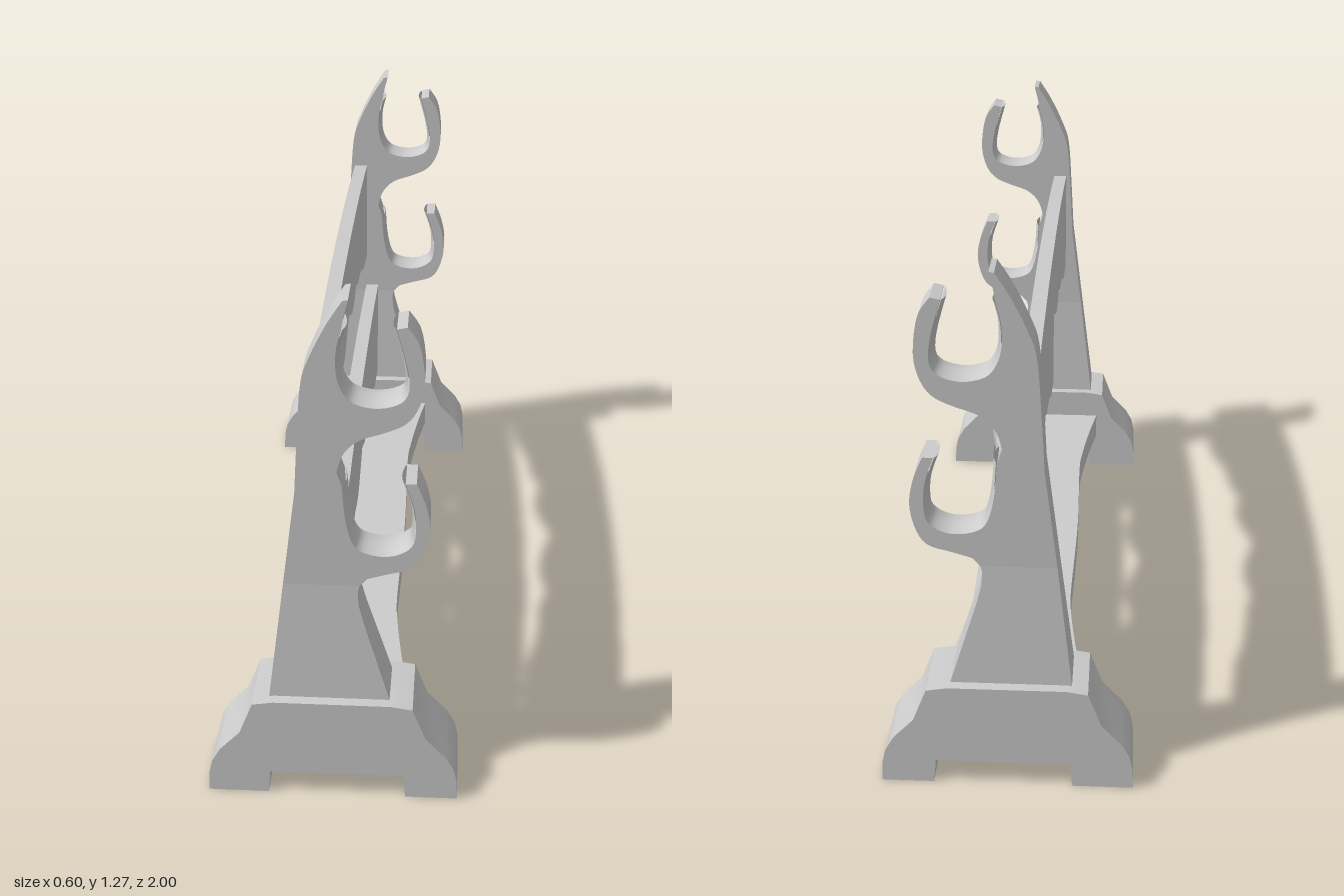
import * as THREE from 'three';
import { toCreasedNormals } from 'three/addons/utils/BufferGeometryUtils.js';

const material = new THREE.MeshStandardMaterial({ color: 0xcccccc });
const linerMaterial = new THREE.MeshStandardMaterial({ color: 0xcccccc, side: THREE.DoubleSide });

const vec = (pts) => pts.map(([x, y]) => new THREE.Vector2(x, y));
const smooth = (pts, n) => new THREE.SplineCurve(vec(pts)).getPoints(n);

// Extrude an outline, centred on its depth
function slab(name, outline, depth, rule) {
  const geo = new THREE.ExtrudeGeometry(new THREE.Shape(outline), { depth, bevelEnabled: false });
  geo.translate(0, 0, -depth / 2);
  if (rule) {
    const p = geo.attributes.position;
    for (let i = 0; i < p.count; i++) p.setZ(i, rule(p.getY(i), p.getZ(i)));
  }
  const mesh = new THREE.Mesh(toCreasedNormals(geo, 0.6), material);
  mesh.name = name;
  return mesh;
}

// Inner curves of the two cradles, from the post side to the tip of the hook
const upperCradle = [[0.022, 1.2], [0.01, 1.15], [0.011, 1.09], [0.025, 1.05], [0.05, 1.025], [0.1, 1.015],
  [0.15, 1.028], [0.17, 1.06], [0.165, 1.12], [0.142, 1.205]];
const lowerCradle = [[0.022, 0.82], [0.03, 0.73], [0.05, 0.665], [0.09, 0.643], [0.14, 0.643],
  [0.18, 0.667], [0.19, 0.71], [0.185, 0.77], [0.165, 0.83]];

// Thin padded lining, crowned across its width
function liner(name, pts) {
  const curve = new THREE.SplineCurve(vec(pts));
  const geo = new THREE.PlaneGeometry(1, 1, 32, 6);
  const p = geo.attributes.position;
  for (let i = 0; i < p.count; i++) {
    const t = p.getX(i) + 0.5, s = p.getY(i) * 2;
    const c = curve.getPoint(t), d = curve.getTangent(t);
    const lift = 0.002 + 0.008 * (1 - s * s);
    p.setXYZ(i, c.x - d.y * lift, c.y + d.x * lift, s * 0.047);
  }
  geo.computeVertexNormals();
  const mesh = new THREE.Mesh(geo, linerMaterial);
  mesh.name = name;
  return mesh;
}

function createEnd() {
  const end = new THREE.Group();

  // Footed base block
  const side = [[0.3, 0], [0.298, 0.05], [0.29, 0.085], [0.27, 0.12], [0.222, 0.17], [0.19, 0.252], [0.14, 0.26]];
  const base = vec([[-0.155, 0], [-0.15, 0.06], [0.17, 0.06], [0.175, 0], ...side,
    ...side.map(([x, y]) => [-x, y]).reverse()]);
  end.add(slab('base', base, 0.19));

  // Lower post, thicker towards the base
  const foot = vec([[-0.152, 0.255], [0.136, 0.255], [0.073, 0.46], [0.06, 0.51], [0.058, 0.545], [0.062, 0.56], [-0.115, 0.56]]);
  end.add(slab('lowerPost', foot, 0.096,
    (y, z) => z * (1 + 0.4 * (0.56 - y) / 0.305)));

  // Upper post with two hooks
  const post = [
    ...vec([[-0.115, 0.56], [0.062, 0.56]]),
    ...smooth([[0.08, 0.58], [0.13, 0.595], [0.18, 0.61], [0.207, 0.645], [0.222, 0.71], [0.212, 0.775], [0.19, 0.83]], 20),
    ...smooth([...lowerCradle].reverse(), 32),
    ...smooth([[0.01, 0.855], [0.025, 0.9], [0.06, 0.935], [0.12, 0.957], [0.165, 0.98], [0.192, 1.02],
      [0.204, 1.08], [0.193, 1.165], [0.165, 1.21]], 28),
    ...smooth([...upperCradle].reverse(), 32),
    ...vec([[0.028, 1.235], [0.037, 1.27]]),
    ...smooth([[0.025, 1.268], [-0.01, 1.213], [-0.048, 1.135], [-0.068, 1.07], [-0.078, 0.93], [-0.085, 0.8]], 20),
  ];
  end.add(slab('upperPost', post, 0.096));
  end.add(liner('upperLiner', upperCradle), liner('lowerLiner', lowerCradle));
  return end;
}

// Arched rail with a scalloped lower edge
function createRail(name, x, y) {
  const half = [[0, 0.83], [0.09, 0.797], [0.13, 0.785], [0.19, 0.775], [0.26, 0.784], [0.31, 0.795], [0.335, 0.794],
    [0.39, 0.768], [0.45, 0.763], [0.52, 0.755], [0.59, 0.737], [0.67, 0.706], [0.75, 0.696], [0.88, 0.683]];
  const outline = [...half.slice(1).map(([z, h]) => [-z, h]).reverse(), ...half];
  for (let i = 0; i <= 20; i++) {
    const z = 0.88 - 0.088 * i;
    outline.push([z, 1.03 - 0.061 * z * z]);
  }
  const rail = slab(name, vec(outline), 0.038);
  rail.rotation.y = Math.PI / 2;
  rail.position.set(x, y, 0);
  return rail;
}

export function createModel() {
  const model = new THREE.Group();
  model.name = 'displayStand';

  for (const s of [1, -1]) {
    const end = createEnd();
    end.name = s > 0 ? 'frontEnd' : 'backEnd';
    end.position.z = s * 0.905;
    model.add(end);
  }

  model.add(createRail('upperRail', -0.045, 0));
  model.add(createRail('lowerRail', -0.008, -0.404));

  // Waisted shelf between the bases
  const edge = smooth([[0.175, -0.83], [0.152, -0.67], [0.134, -0.5], [0.129, -0.38], [0.135, 0],
    [0.129, 0.38], [0.134, 0.5], [0.152, 0.67], [0.175, 0.83]], 40);
  const outline = [...edge, ...edge.map((p) => new THREE.Vector2(-p.x, p.y)).reverse()];
  const shelf = slab('shelf', outline, 0.073);
  shelf.rotation.x = Math.PI / 2;
  shelf.position.y = 0.142;
  model.add(shelf);

  return model;
}
